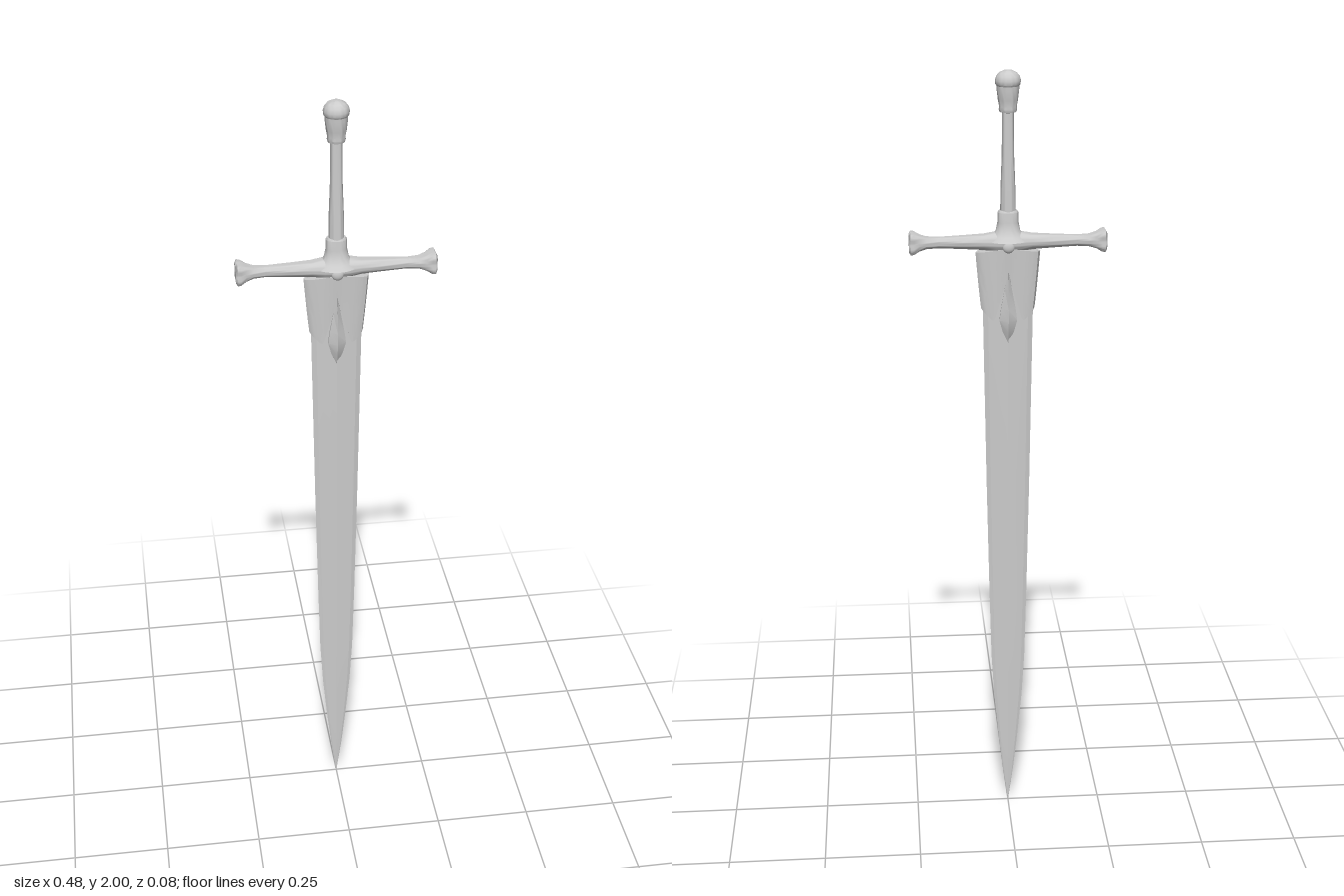
import * as THREE from 'three';
import { toCreasedNormals } from 'three/addons/utils/BufferGeometryUtils.js';

const V = (x, y, z) => new THREE.Vector3(x, y, z);

// Skin a list of rings (arrays of Vector3, same length, closed) into a surface.
function loft(rings, crease = 0.7) {
  const n = rings[0].length, pos = [], idx = [];
  rings.forEach(r => r.forEach(p => pos.push(p.x, p.y, p.z)));
  for (let i = 0; i < rings.length - 1; i++) {
    for (let j = 0; j < n; j++) {
      const a = i * n + j, b = i * n + (j + 1) % n;
      idx.push(a, b, a + n, b, b + n, a + n);
    }
  }
  const g = new THREE.BufferGeometry();
  g.setAttribute('position', new THREE.Float32BufferAttribute(pos, 3));
  g.setIndex(idx);
  return toCreasedNormals(g, crease);
}

export function createModel() {
  const group = new THREE.Group();
  const mat = new THREE.MeshStandardMaterial({ color: 0xcccccc, side: THREE.DoubleSide });
  const add = (name, geo) => {
    const m = new THREE.Mesh(geo, mat);
    m.name = name;
    group.add(m);
    return m;
  };
  const lathe = (pts, seg = 32) =>
    toCreasedNormals(new THREE.LatheGeometry(pts.map(p => new THREE.Vector2(...p)), seg), 0.6);

  // Blade: ridged, bevelled section; [y, half width, half thickness]
  const blade = [[0, 0.0005, 0.0005], [0.1, 0.014, 0.003], [0.2, 0.025, 0.0045], [0.33, 0.037, 0.006],
    [0.45, 0.044, 0.007], [0.65, 0.049, 0.008], [0.95, 0.055, 0.01], [1.4, 0.062, 0.012], [1.57, 0.063, 0.012]];
  add('blade', loft(blade.map(([y, w, t]) => [
    V(w, y, 0), V(w * 0.8, y, -t * 0.5), V(w * 0.3, y, -t * 0.85), V(0, y, -t), V(-w * 0.3, y, -t * 0.85), V(-w * 0.8, y, -t * 0.5),
    V(-w, y, 0), V(-w * 0.8, y, t * 0.5), V(-w * 0.3, y, t * 0.85), V(0, y, t), V(w * 0.3, y, t * 0.85), V(w * 0.8, y, t * 0.5),
  ]), 0.15));

  // Flared sleeve over the blade root, its lower edge cut into two flaps
  const N = 24, rows = 8;
  const hem = u => {
    const a = Math.abs(u);
    return a < 0.55 ? 1.515 - 0.125 * Math.pow(a / 0.55, 0.8) : 1.39 + 0.03 * Math.pow((a - 0.55) / 0.45, 1.5);
  };
  const sleeveRing = (v, depth) => {
    const ring = [];
    for (let k = 0; k < 2 * N; k++) {
      const back = k < N;
      const u = back ? 1 - 2 * k / N : -1 + 2 * (k - N) / N;
      const y = 1.562 + 0.012 * (1 - Math.abs(u)) * (1 - v) + (hem(u) - 1.562) * v;
      const w = 0.064 + 0.016 * Math.pow(THREE.MathUtils.clamp((y - 1.4) / 0.16, 0, 1), 0.8);
      const z = (0.006 + 0.019 * Math.sqrt(Math.max(0, 1 - u * u)) * (1 - 0.25 * v)) * depth;
      ring.push(V(u * w, y, back ? -z : z));
    }
    return ring;
  };
  const sleeve = [sleeveRing(1, 0.2)];
  for (let i = rows; i >= 0; i--) sleeve.push(sleeveRing(i / rows, 1));
  sleeve.push(sleeveRing(0, 0.1));
  add('bladeSleeve', loft(sleeve, 0.6));

  // Pointed leaf on each face, between the flaps; [y, half width, ridge height]
  const leaf = [[1.33, 0.001, 0.012], [1.36, 0.014, 0.023], [1.39, 0.022, 0.029], [1.42, 0.018, 0.029],
    [1.47, 0.009, 0.026], [1.515, 0.001, 0.022]];
  add('leaf', loft(leaf.map(([y, w, z]) => [
    V(w, y, 0), V(w, y, -z * 0.55), V(0, y, -z), V(-w, y, -z * 0.55),
    V(-w, y, 0), V(-w, y, z * 0.55), V(0, y, z), V(w, y, z * 0.55),
  ]), 0.3));

  // Crossguard: oval bar with lobed, bone-like ends; [x, half height, half depth, lobe amount]
  const half = [[0, 0.027, 0.03, 0], [0.03, 0.025, 0.028, 0], [0.06, 0.02, 0.022, 0], [0.11, 0.017, 0.018, 0],
    [0.17, 0.014, 0.0145, 0], [0.2, 0.016, 0.017, 0.03], [0.217, 0.021, 0.023, 0.08], [0.23, 0.028, 0.03, 0.14],
    [0.238, 0.029, 0.031, 0.16], [0.242, 0.023, 0.025, 0.12], [0.238, 0.012, 0.013, 0.05], [0.236, 0.0005, 0.0005, 0]];
  const bar = [...half.slice(1).reverse().map(([x, ...r]) => [-x, ...r]), ...half];
  add('crossguard', loft(bar.map(([x, h, d, lobe]) => {
    const ring = [];
    for (let j = 0; j < 32; j++) {
      const t = j / 32 * Math.PI * 2;
      const r = 1 - lobe * Math.cos(4 * t);
      ring.push(V(x, 1.587 + h * r * Math.cos(t), d * r * Math.sin(t)));
    }
    return ring;
  }), 0.9));

  // Round boss on both faces of the guard
  for (const s of [1, -1]) {
    const boss = add('guardBoss', new THREE.SphereGeometry(0.015, 16, 12));
    boss.position.set(0, 1.578, s * 0.025);
    boss.scale.z = 0.55;
  }

  // Collar sweeping out of the guard
  add('collar', lathe([[0.052, 1.59], [0.04, 1.602], [0.03, 1.615], [0.026, 1.635], [0.0255, 1.66],
    [0.022, 1.665], [0.016, 1.665]])).scale.z = 0.8;

  // Grip
  add('grip', lathe([[0.019, 1.655], [0.018, 1.72], [0.015, 1.8], [0.014, 1.91]]));

  // Pommel with neck ring, tapered cup and domed cap
  add('pommel', lathe([[0.013, 1.9], [0.02, 1.902], [0.022, 1.908], [0.021, 1.915], [0.024, 1.93], [0.027, 1.955],
    [0.027, 1.963], [0.03, 1.967], [0.031, 1.976], [0.028, 1.986], [0.021, 1.994], [0.011, 1.999], [0, 2]]));

  return group;
}
